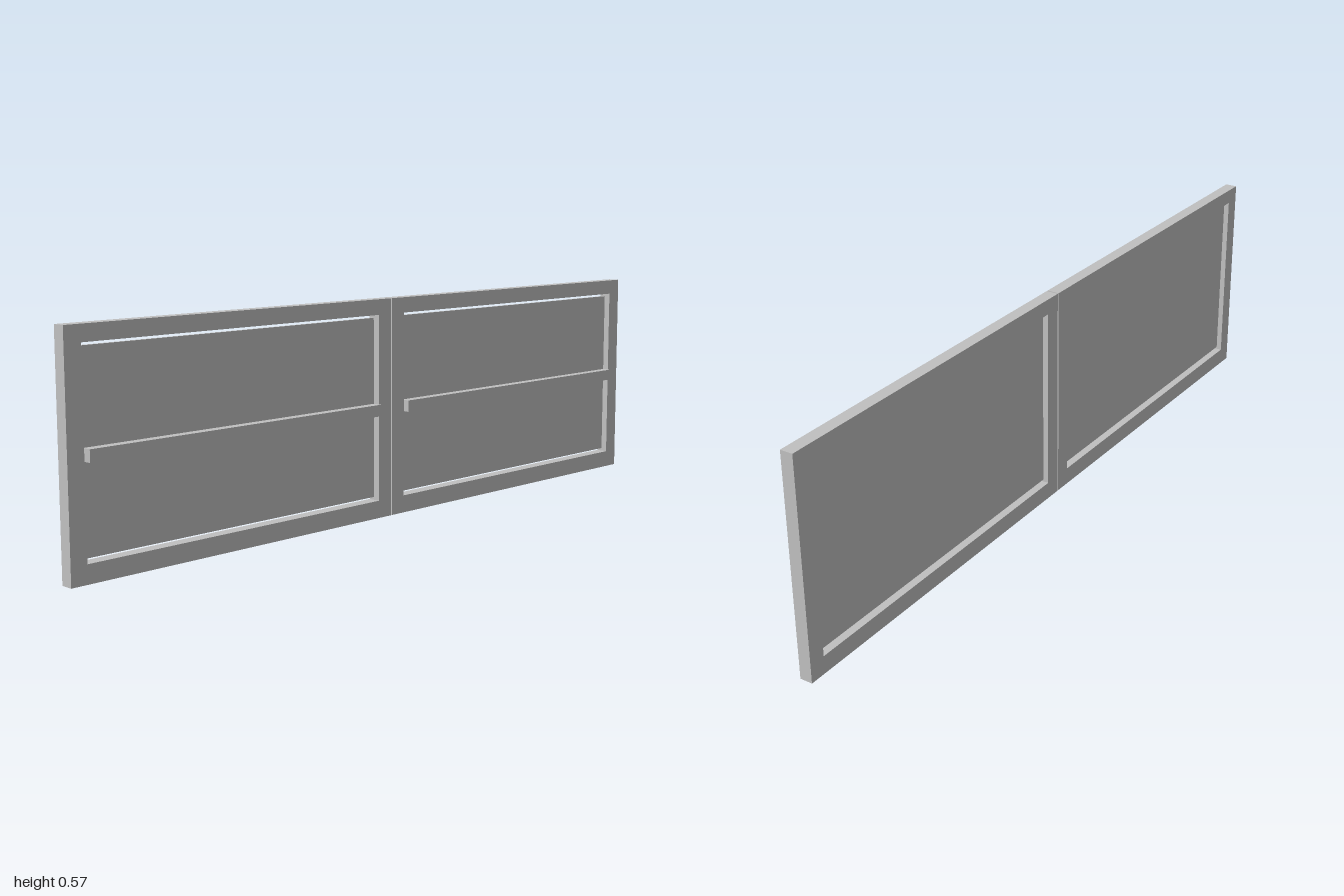
import * as THREE from 'three';

const grey = new THREE.MeshStandardMaterial({ color: 0xc0c0c0 });
grey.name = 'light grey';

// Box given by its limits on each axis
function bar(name, [x0, x1], [y0, y1], [z0, z1]) {
  const mesh = new THREE.Mesh(new THREE.BoxGeometry(x1 - x0, y1 - y0, z1 - z0), grey);
  mesh.position.set((x0 + x1) / 2, (y0 + y1) / 2, (z0 + z1) / 2);
  mesh.name = name;
  return mesh;
}

export function createModel() {
  const model = new THREE.Group();
  model.name = 'doublePanelFrame';
  const height = 0.57;
  const depth = [-0.022, 0.011];

  for (const side of [1, -1]) {
    const span = (a, b) => (side > 0 ? [a, b] : [-b, -a]);
    const leaf = new THREE.Group();
    leaf.name = side > 0 ? 'leftLeaf' : 'rightLeaf';
    leaf.add(
      // Frame: upright stiles with rails between them
      bar('innerStile', span(0.002, 0.047), [0, height], depth),
      bar('outerStile', span(0.956, 1), [0, height], depth),
      bar('topRail', span(0.047, 0.956), [0.53, height], depth),
      bar('bottomRail', span(0.047, 0.956), [0, 0.046], depth),
      // Thin recessed panel, with a narrow gap to the frame all round
      bar('panel', span(0.052, 0.95), [0.055, 0.522], [-0.01, -0.002]),
      // Raised bar across the front of the panel
      bar('crossBar', span(0.052, 0.95), [0.27, 0.3], [-0.002, 0.023]),
    );
    model.add(leaf);
  }
  return model;
}
